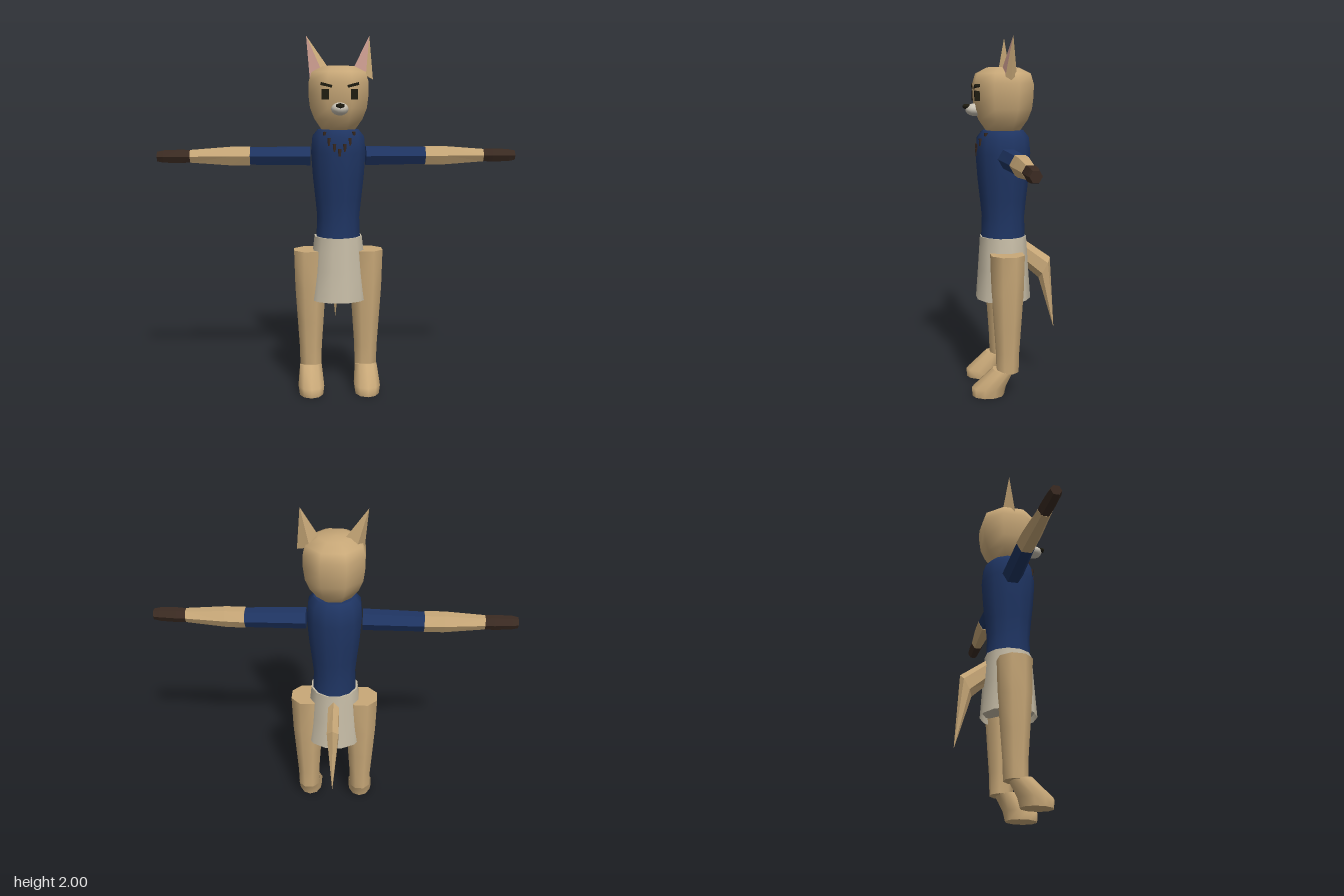
import * as THREE from 'three';

const mat = (name, color, side = THREE.FrontSide) => {
  const m = new THREE.MeshStandardMaterial({ color, side });
  m.name = name;
  return m;
};
const V = (x, y, z) => new THREE.Vector3(x, y, z);

// Indexed geometry, smooth or faceted.
function build(points, index, flat) {
  let g = new THREE.BufferGeometry().setFromPoints(points);
  g.setIndex(index);
  if (flat) {
    g = g.toNonIndexed();
    g.setIndex([...Array(g.attributes.position.count).keys()]);
  }
  g.computeVertexNormals();
  return g;
}

// Skin over rings of points, with flat end caps.
function loft(rings, { flat = false, start = true } = {}) {
  const n = rings[0].length, pts = rings.flat(), idx = [];
  for (let r = 0; r < rings.length - 1; r++)
    for (let i = 0; i < n; i++) {
      const j = (i + 1) % n, a = r * n, b = a + n;
      idx.push(a + i, a + j, b + j, a + i, b + j, b + i);
    }
  const cap = (ring, flip) => {
    const o = pts.length;
    pts.push(...ring);
    for (let i = 1; i < n - 1; i++) idx.push(o, o + (flip ? i + 1 : i), o + (flip ? i : i + 1));
  };
  if (start) cap(rings[0], true);
  cap(rings[rings.length - 1], false);
  return build(pts, idx, flat);
}

function ring(c, u, v, n, phase = 0) {
  return Array.from({ length: n }, (_, i) => {
    const t = (i / n) * Math.PI * 2 + phase;
    return c.clone().addScaledVector(u, Math.cos(t)).addScaledVector(v, Math.sin(t));
  });
}

// Upright column of rings; half widths are measured across the flats.
function column(x, z, profile, n, opts) {
  const k = 1 / Math.cos(Math.PI / n);
  return loft(profile.map(([y, rx, rz = rx]) =>
    ring(V(x, y, z), V(0, 0, rz * k), V(rx * k, 0, 0), n, Math.PI / n)), opts);
}

// Hexagonal limb section along +x.
const limb = (sections) =>
  loft(sections.map(([x, z, ry, rz]) => ring(V(x, 1.34, z), V(0, ry / 0.866, 0), V(0, 0, rz), 6, Math.PI / 2)), { flat: true });

function mirror(geo) {
  const g = geo.clone().scale(-1, 1, 1);
  g.setIndex([...geo.index.array].reverse());
  return g;
}

export function createModel() {
  const model = new THREE.Group();
  model.name = 'standingFoxFigure';
  const fur = mat('tan fur', 0xc8a878), shirt = mat('navy shirt', 0x1f3563);
  const cloth = mat('cream cloth', 0xc6bca6, THREE.DoubleSide), paw = mat('dark brown paw', 0x3b2b22);
  const black = mat('black features', 0x1e1b10), pink = mat('inner ear pink', 0xc99a8e);
  const pale = mat('pale muzzle', 0xcac3b4);

  const add = (name, geo, m) => {
    const mesh = new THREE.Mesh(geo, m);
    mesh.name = name;
    model.add(mesh);
  };
  const pair = (name, geo, m) => {
    add('left' + name, geo, m);
    add('right' + name, mirror(geo), m);
  };

  // Head and torso
  add('head', column(0, 0.038, [[1.47, 0.06], [1.49, 0.094], [1.545, 0.131], [1.605, 0.154], [1.68, 0.163],
    [1.745, 0.163], [1.8, 0.147], [1.833, 0.085], [1.836, 0.004]], 8), fur);
  add('shirtBody', column(0, 0.038, [[0.89, 0.121], [1.0, 0.117], [1.1, 0.127], [1.22, 0.14], [1.36, 0.15],
    [1.45, 0.142], [1.488, 0.112]], 12), shirt);

  // Cloth wrap, open underneath, with the hips inside
  add('skirt', column(0, 0.038, [[0.53, 0.165, 0.152], [0.7, 0.15, 0.14], [0.81, 0.141, 0.133], [0.89, 0.132, 0.128]],
    12, { start: false }), cloth);
  add('hipUnderside', column(0, 0.038, [[0.56, 0.15, 0.142], [0.58, 0.148, 0.14]], 12), cloth);

  // Legs and feet
  pair('Leg', column(0.158, 0.035, [[0.135, 0.06], [0.25, 0.063], [0.4, 0.073], [0.6, 0.086], [0.81, 0.092]], 8), fur);
  const footRing = (y, z, rx, rz, tilt) => ring(V(0.158, y, z), V(0, tilt, rz), V(rx, 0, 0), 10);
  pair('Foot', loft([footRing(0, 0.145, 0.069, 0.09, 0), footRing(0.05, 0.141, 0.076, 0.098, 0),
    footRing(0.143, 0.062, 0.065, 0.06, 0.012)]), fur);

  // Arms
  pair('Sleeve', limb([[0.155, 0.028, 0.051, 0.06], [0.49, 0.019, 0.047, 0.054]]), shirt);
  pair('Forearm', limb([[0.49, 0.019, 0.051, 0.056], [0.6, 0.021, 0.05, 0.054], [0.82, 0.027, 0.034, 0.039]]), fur);
  pair('Paw', limb([[0.82, 0.027, 0.033, 0.038], [0.87, 0.028, 0.036, 0.04], [0.965, 0.031, 0.033, 0.036],
    [1.0, 0.031, 0.026, 0.03]]), paw);

  // Ears: pink hollow, with a fur rim on the +x edge and a fur back
  const ear = (side, a, b, rim, back, tip) => {
    add(side + 'EarInside', build([a, b, tip], [0, 1, 2], true), pink);
    add(side + 'Ear', build([a, b, rim, back, tip], [1, 2, 4, 2, 3, 4, 3, 0, 4, 0, 3, 1, 1, 3, 2], true), fur);
  };
  ear('left', V(0.08, 1.815, 0.055), V(0.153, 1.783, 0.045), V(0.195, 1.762, 0.018), V(0.125, 1.79, -0.022), V(0.175, 2, 0.005));
  ear('right', V(-0.157, 1.772, 0.045), V(-0.09, 1.805, 0.052), V(-0.053, 1.825, 0.02), V(-0.115, 1.79, -0.022), V(-0.175, 2, 0.005));

  // Eyes and brows
  pair('Eye', new THREE.BoxGeometry(0.038, 0.055, 0.026).translate(0.078, 1.679, 0.19), black);
  pair('Brow', new THREE.BoxGeometry(0.062, 0.015, 0.028).rotateZ(0.25).translate(0.072, 1.729, 0.19), black);

  // Muzzle and nose
  add('muzzle', new THREE.SphereGeometry(1, 14, 10).scale(0.047, 0.035, 0.052).translate(0, 1.602, 0.195), pale);
  add('nose', loft([[0.225, 0.025, 0.014], [0.25, 0.025, 0.014], [0.26, 0.017, 0.009]].map(([z, rx, ry]) =>
    ring(V(0, 1.62, z), V(rx, 0, 0), V(0, ry, 0), 6, Math.PI / 6))), black);

  // Beads hanging in a V on the chest
  const beads = [[0, 1.367, 0.184], [0.028, 1.393, 0.181], [0.056, 1.425, 0.169], [0.08, 1.468, 0.143]];
  beads.forEach(([x, y, z], i) => {
    const geo = new THREE.CylinderGeometry(0.011, 0.008, i === 3 ? 0.02 : 0.042, 6).translate(x, y, z);
    if (x) pair('Bead' + i, geo, paw);
    else add('centreBead', geo, paw);
  });

  // Tail, bent down to a point
  const tailRing = (y, z, w, uy, uz) => ring(V(0, y, z), V(-w, 0, 0), V(0, uy, uz), 6, Math.PI / 6);
  add('tail', loft([tailRing(0.8, -0.07, 0.036, 0.058, -0.02), tailRing(0.695, -0.203, 0.038, 0.06, -0.033),
    tailRing(0.34, -0.26, 0.001, 0.001, -0.001)], { flat: true }), fur);

  return model;
}
